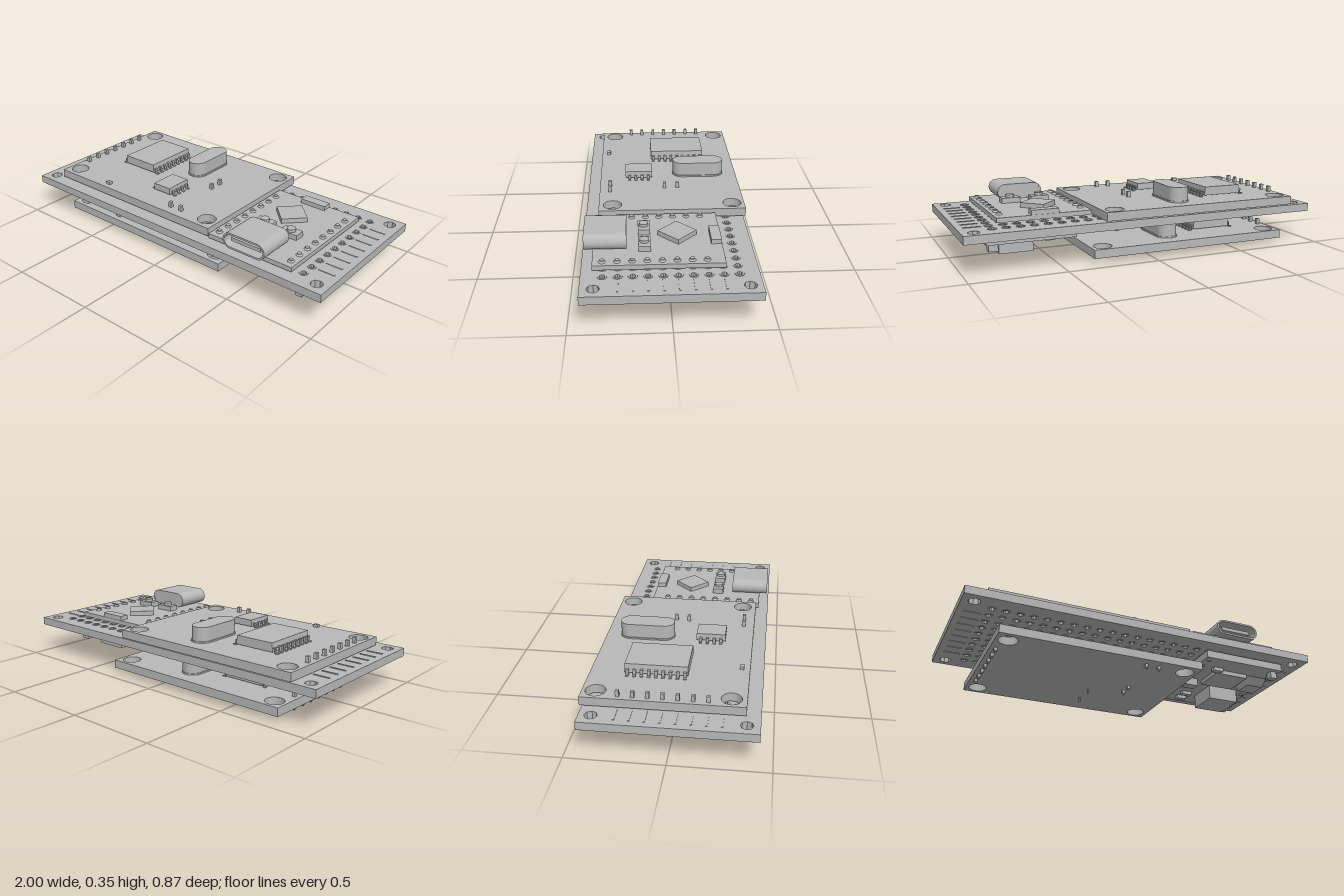
import * as THREE from 'three';
import { mergeGeometries } from 'three/addons/utils/BufferGeometryUtils.js';

const grey = new THREE.MeshStandardMaterial({ color: 0xb8b8b8 });
grey.name = 'plain grey';
const PITCH = 0.0727;

function add(parent, name, geo, x = 0, y = 0, z = 0) {
  const m = new THREE.Mesh(geo, grey);
  m.name = name;
  m.position.set(x, y, z);
  parent.add(m);
  return m;
}

// box given by its limits
function block(parent, name, x0, x1, y0, y1, z0, z1) {
  return add(parent, name, new THREE.BoxGeometry(x1 - x0, y1 - y0, z1 - z0),
    (x0 + x1) / 2, (y0 + y1) / 2, (z0 + z1) / 2);
}

function circle(x, y, r) {
  const p = new THREE.Path();
  p.absarc(x, y, r, 0, Math.PI * 2, true);
  return p;
}

function extrude(shape, depth, seg = 5) {
  return new THREE.ExtrudeGeometry(shape, { depth, bevelEnabled: false, curveSegments: seg });
}

// circuit board with drilled holes [x, z, radius]
function board(parent, name, x0, x1, y0, y1, z0, z1, holes, seg) {
  const s = new THREE.Shape([[x0, -z1], [x1, -z1], [x1, -z0], [x0, -z0]].map(p => new THREE.Vector2(...p)));
  for (const [x, z, r] of holes) s.holes.push(circle(x, -z, r));
  return add(parent, name, extrude(s, y1 - y0, seg).rotateX(-Math.PI / 2), 0, y0, 0);
}

// rounded bar outline, long in x
function stadium(Ctor, w, h) {
  const s = new Ctor(), r = h / 2, a = w / 2 - r;
  s.absarc(a, 0, r, -Math.PI / 2, Math.PI / 2, false);
  s.absarc(-a, 0, r, Math.PI / 2, Math.PI * 1.5, false);
  s.closePath();
  return s;
}

// square pin with a pointed lower end
function pin(parent, x, z, y0, y1, w = 0.018) {
  block(parent, 'headerPin', x - w / 2, x + w / 2, y0 + 0.012, y1, z - w / 2, z + w / 2);
  add(parent, 'pinTip', new THREE.ConeGeometry(w * 0.7, 0.012, 4).rotateX(Math.PI).rotateY(Math.PI / 4), x, y0 + 0.006, z);
}

// chip with bent legs on both x sides
function chip(parent, name, x0, x1, y0, y1, z0, z1, legs, first) {
  const body = block(parent, name, x0, x1, y0 + 0.008, y1, z0, z1);
  const p = body.geometry.attributes.position, mid = 0;
  for (let i = 0; i < p.count; i++) if (p.getY(i) > mid) p.setX(i, p.getX(i) * 0.96);
  body.geometry.computeVertexNormals();
  const ym = (y0 + y1) / 2;
  for (let i = 0; i < legs; i++) {
    const z = first + i * PITCH / 2;
    for (const [x, s] of [[x0, -1], [x1, 1]]) {
      const span = (a, b) => [Math.min(x + s * a, x + s * b), Math.max(x + s * a, x + s * b)];
      block(parent, 'chipLeg', ...span(-0.004, 0.012), ym - 0.004, ym + 0.002, z - 0.008, z + 0.008);
      block(parent, 'chipLeg', ...span(0.007, 0.012), y0, ym, z - 0.008, z + 0.008);
      block(parent, 'chipLeg', ...span(0.007, 0.026), y0, y0 + 0.005, z - 0.008, z + 0.008);
    }
  }
}

// bus module: board, two chips, crystal and header pins
function busModule(name) {
  const g = new THREE.Group();
  g.name = name;
  const holes = [];
  for (const x of [-0.803, 0.197]) for (const z of [-0.367, 0.29]) holes.push([x, z, 0.051]);
  board(g, 'moduleBoard', -0.87, 0.267, 0.22, 0.266, -0.435, 0.365, holes, 8);
  chip(g, 'controllerChip', -0.635, -0.405, 0.266, 0.322, -0.257, 0.062, 9, -0.243);
  chip(g, 'transceiverChip', -0.255, -0.135, 0.266, 0.311, 0.063, 0.218, 4, 0.086);
  const lie = (w, h, d) => extrude(stadium(THREE.Shape, w, h), d, 8).rotateX(-Math.PI / 2).rotateY(Math.PI / 2);
  add(g, 'crystalFlange', lie(0.302, 0.122, 0.008), -0.21, 0.266, -0.209);
  add(g, 'crystalCan', lie(0.294, 0.11, 0.084), -0.21, 0.266, -0.209);
  for (const z of [-0.14, -0.275]) block(g, 'crystalLead', -0.214, -0.206, 0.192, 0.225, z - 0.005, z + 0.005);
  for (let i = 0; i < 7; i++) pin(g, -0.84, -0.253 + i * PITCH, 0.19, 0.298);
  for (const [x, z] of [[-0.012, -0.077], [-0.012, -0.005], [-0.045, 0.307], [0.028, 0.307]]) pin(g, x, z, 0.19, 0.298);
  block(g, 'resistor', -0.53, -0.5, 0.266, 0.282, 0.314, 0.334);
  return g;
}

export function createModel() {
  const root = new THREE.Group();
  root.name = 'stackedCircuitBoards';

  // carrier board with a grid of drilled holes
  const grid = [], corners = [];
  for (let i = 0; i < 24; i++) for (let j = 0; j < 10; j++)
    grid.push([(i - 11.5) * PITCH, (j - 4.5) * PITCH + 0.003, 0.0145]);
  for (const x of [-0.935, 0.935]) for (const z of [-0.363, 0.37]) corners.push([x, z, 0.032]);
  board(root, 'carrierBoard', -1, 1, 0.168, 0.212, -0.424, 0.435, [...grid, ...corners], 4);

  // thin solder rings on both faces
  const ring = new THREE.Shape();
  ring.absarc(0, 0, 0.024, 0, Math.PI * 2, false);
  ring.holes.push(circle(0, 0, 0.0145));
  const ringGeo = extrude(ring, 0.003, 4).rotateX(-Math.PI / 2);
  const rings = [];
  for (const [x, z] of grid) for (const y of [0.165, 0.212]) rings.push(ringGeo.clone().translate(x, y, z));
  add(root, 'solderRings', mergeGeometries(rings));

  // short traces at both ends
  for (const s of [-1, 1]) for (let j = 1; j < 9; j++) for (const y of [0.165, 0.212]) {
    const z = (j - 4.5) * PITCH + 0.003;
    block(root, 'endTrace', s * 0.92 - 0.045, s * 0.92 + 0.045, y, y + 0.003, z - 0.005, z + 0.005);
  }

  // bus modules above and below the carrier
  root.add(busModule('upperBusModule'));
  const low = busModule('lowerBusModule');
  low.position.set(0.069, -0.19, 0);
  root.add(low);

  // upper processor board with edge pins
  const cpu = new THREE.Group();
  cpu.name = 'upperProcessorBoard';
  root.add(cpu);
  const rows = [];
  for (let i = 0; i < 8; i++) for (const x of [0.317, 0.762]) rows.push([x, -0.177 + i * PITCH, 0.012]);
  board(cpu, 'processorBoard', 0.283, 0.797, 0.225, 0.25, -0.265, 0.38, rows, 4);
  for (const [x, z] of rows) {
    add(cpu, 'edgePin', new THREE.CylinderGeometry(0.0115, 0.0115, 0.055, 10), x, 0.235, z);
    add(cpu, 'solderJoint', new THREE.CylinderGeometry(0.017, 0.012, 0.022, 10), x, 0.223, z);
    add(cpu, 'solderCap', new THREE.CylinderGeometry(0.009, 0.018, 0.012, 10), x, 0.256, z);
  }
  add(cpu, 'processorChip', new THREE.BoxGeometry(0.141, 0.026, 0.141).rotateY(Math.PI / 4), 0.513, 0.263, -0.045);
  block(cpu, 'statusLamp', 0.465, 0.615, 0.25, 0.275, -0.263, -0.21);
  for (const x of [0.457, 0.623]) {
    block(cpu, 'buttonBase', x - 0.052, x + 0.052, 0.25, 0.279, 0.094, 0.155);
    add(cpu, 'buttonCap', new THREE.CylinderGeometry(0.024, 0.024, 0.016, 16), x, 0.286, 0.125);
  }

  // hollow connector shell, closed at the back, with a tongue
  const shell = stadium(THREE.Shape, 0.256, 0.088);
  shell.holes.push(stadium(THREE.Path, 0.236, 0.068));
  add(cpu, 'connectorShell', extrude(shell, 0.212, 10), 0.54, 0.291, 0.213);
  add(cpu, 'connectorBack', extrude(stadium(THREE.Shape, 0.25, 0.08), 0.06, 10), 0.54, 0.291, 0.2135);
  block(cpu, 'connectorTongue', 0.45, 0.63, 0.281, 0.301, 0.26, 0.405);

  // lower processor board, components facing down
  const sub = new THREE.Group();
  sub.name = 'lowerProcessorBoard';
  root.add(sub);
  const pads = [];
  for (let i = 0; i < 8; i++) for (const x of [0.4, 0.83]) pads.push([x, -0.177 + i * PITCH, 0.012]);
  board(sub, 'processorBoard', 0.372, 0.858, 0.115, 0.157, -0.275, 0.366, pads, 4);
  for (const [x, z] of pads)
    add(sub, 'edgePin', new THREE.CylinderGeometry(0.0115, 0.0115, 0.085, 10), x, 0.15, z);
  block(sub, 'socketHousing', 0.58, 0.766, 0.035, 0.116, -0.165, 0.018);
  block(sub, 'socketSide', 0.764, 0.8, 0.055, 0.116, -0.115, -0.03);
  block(sub, 'flatChip', 0.5, 0.7, 0.092, 0.116, 0.06, 0.24);
  add(sub, 'resetButton', new THREE.CylinderGeometry(0.1, 0.07, 0.05, 4, 1).rotateY(Math.PI / 4), 0.77, 0.09, 0.163);
  block(sub, 'capacitor', 0.385, 0.468, 0.072, 0.116, 0.02, 0.075);
  block(sub, 'resistor', 0.79, 0.84, 0.075, 0.116, -0.25, -0.205);
  block(sub, 'regulator', 0.8, 0.84, 0.075, 0.116, 0.3, 0.34);
  for (const z of [-0.2, -0.13, 0.25]) block(sub, 'resistor', 0.47, 0.53, 0.095, 0.116, z - 0.015, z + 0.015);
  return root;
}
